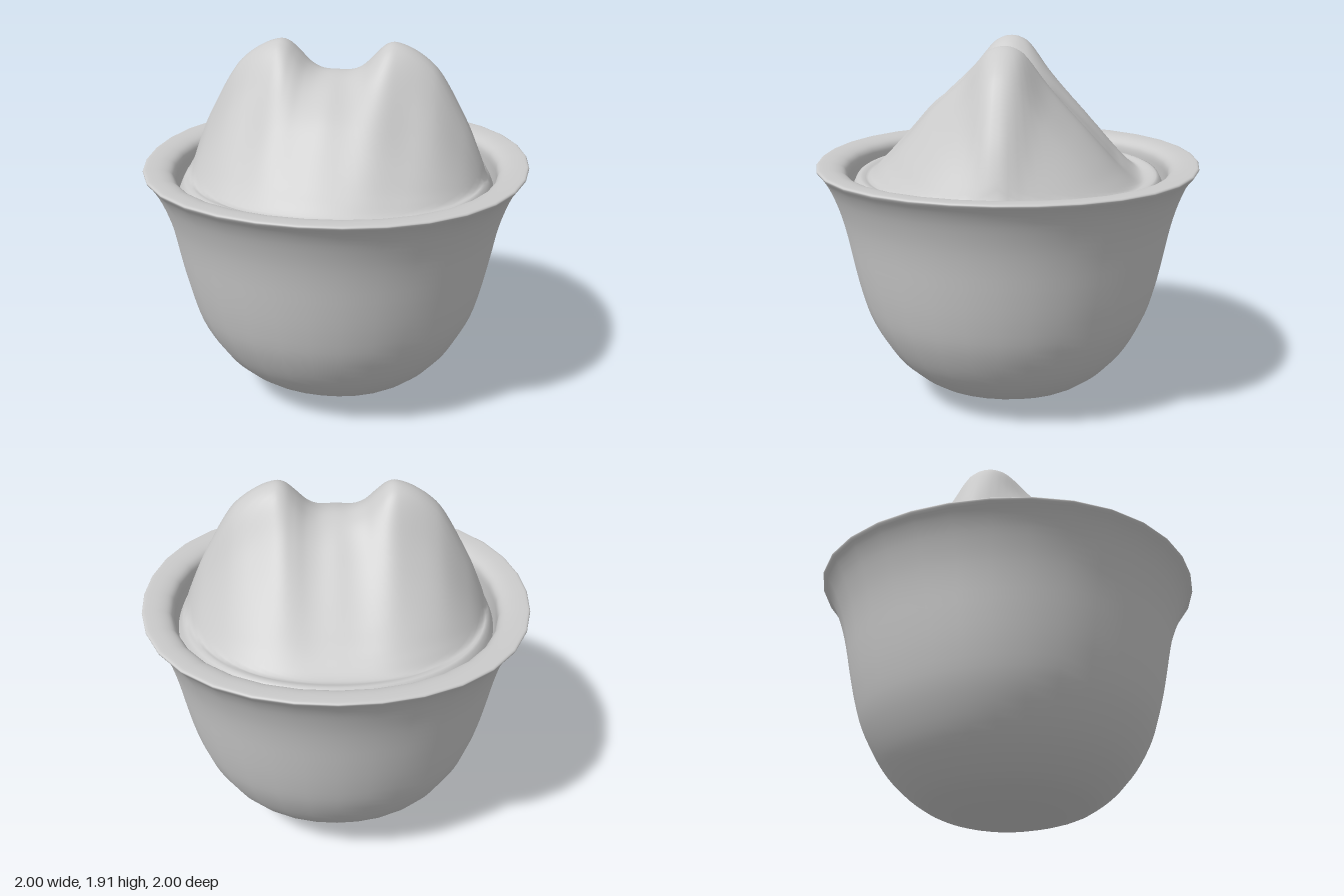
import * as THREE from 'three';

const FLOOR = 1.22, MOUND_R = 0.78;

// Smooth interpolation through [position, value] pairs
function lookup(pts, x) {
  const n = pts.length - 1;
  if (x <= pts[0][0]) return pts[0][1];
  if (x >= pts[n][0]) return pts[n][1];
  let i = 0;
  while (x > pts[i + 1][0]) i++;
  const slope = (k) => (k === 0 || k === n) ? 0
    : (pts[k + 1][1] - pts[k - 1][1]) / (pts[k + 1][0] - pts[k - 1][0]);
  const d = pts[i + 1][0] - pts[i][0], t = (x - pts[i][0]) / d;
  const t2 = t * t, t3 = t2 * t;
  return pts[i][1] * (2 * t3 - 3 * t2 + 1) + pts[i + 1][1] * (3 * t2 - 2 * t3)
    + d * (slope(i) * (t3 - 2 * t2 + t) + slope(i + 1) * (t3 - t2));
}

// Crest height from the middle outward, with a peak on each side
const CREST = [[0, 1.77], [0.08, 1.775], [0.14, 1.805], [0.2, 1.865], [0.25, 1.91], [0.3, 1.922], [0.4, 1.885],
  [0.5, 1.81], [0.56, 1.73], [0.65, 1.57], [0.7, 1.47], [0.77, 1.3], [0.79, 1.24]];
// Fall from the crest towards the edge: at the peaks, middle front and middle back
const PEAK_FALL = [[0, 1], [0.07, 0.985], [0.14, 0.93], [0.28, 0.70], [0.42, 0.53], [0.56, 0.38], [0.7, 0.23], [0.82, 0.1], [0.95, 0]];
const FRONT_FALL = [[0, 1], [0.16, 0.96], [0.32, 0.865], [0.49, 0.7], [0.65, 0.45], [0.76, 0.28], [0.85, 0.145], [0.97, 0]];
const BACK_FALL = [[0, 1], [0.13, 0.96], [0.26, 0.84], [0.38, 0.68], [0.51, 0.5], [0.64, 0.31], [0.76, 0.14], [0.92, 0]];
// Softly raised edge around the filling, dropping into the bowl
const EDGE = [[0.66, FLOOR], [0.72, 1.222], [0.77, 1.238], [0.8, 1.225], [0.82, 1.17]];

function fillingHeight(x, z) {
  const r = Math.hypot(x, z), ax = Math.abs(x);
  const edge = lookup(EDGE, r);
  if (r >= MOUND_R) return edge;
  const w = Math.sqrt(MOUND_R * MOUND_R - x * x);
  const t = Math.abs(z) / Math.max(w, 0.02);
  const middle = lookup(z > 0 ? FRONT_FALL : BACK_FALL, t);
  const blend = THREE.MathUtils.smoothstep(ax, 0, 0.42);
  const fall = THREE.MathUtils.lerp(middle, lookup(PEAK_FALL, t), blend);
  return Math.max(edge, FLOOR + (lookup(CREST, ax) - FLOOR) * fall);
}

// Disc of rings lifted by the height rule
function fillingGeometry() {
  const rings = 56, segs = 96, pos = [0, fillingHeight(0, 0), 0], index = [];
  for (let i = 1; i <= rings; i++) {
    const r = 0.822 * i / rings;
    for (let j = 0; j < segs; j++) {
      const a = j / segs * Math.PI * 2;
      const x = r * Math.cos(a), z = r * Math.sin(a);
      pos.push(x, fillingHeight(x, z), z);
    }
  }
  for (let j = 0; j < segs; j++) {
    const k = (j + 1) % segs;
    index.push(0, 1 + k, 1 + j);
    for (let i = 0; i < rings - 1; i++) {
      const a = 1 + i * segs + j, b = 1 + i * segs + k;
      index.push(a, b, a + segs, b, b + segs, a + segs);
    }
  }
  const geo = new THREE.BufferGeometry();
  geo.setAttribute('position', new THREE.Float32BufferAttribute(pos, 3));
  geo.setIndex(index);
  return geo;
}

// The round plan is a little fuller on the diagonals
function fillDiagonals(geo) {
  const p = geo.attributes.position;
  for (let i = 0; i < p.count; i++) {
    const x = p.getX(i), z = p.getZ(i);
    const s = 1 + 0.0135 * (1 - Math.cos(4 * Math.atan2(z, x)));
    p.setX(i, x * s);
    p.setZ(i, z * s);
  }
  return geo;
}

export function createModel() {
  const model = new THREE.Group();
  const material = new THREE.MeshStandardMaterial({ color: 0xcccccc, side: THREE.DoubleSide });

  // Round-bottomed bowl with a flared lip, outside then inside
  const profile = [[0, 0.008], [0.1, 0.014], [0.2, 0.035], [0.39, 0.093], [0.5, 0.158], [0.6, 0.25], [0.68, 0.36],
    [0.75, 0.5], [0.795, 0.65], [0.828, 0.8], [0.857, 0.95], [0.887, 1.07], [0.927, 1.18], [0.965, 1.25],
    [0.995, 1.288], [0.996, 1.3], [0.98, 1.305], [0.92, 1.302], [0.875, 1.29], [0.85, 1.27], [0.84, 1.24],
    [0.84, 1.18], [0.835, 1.05], [0.79, 0.8], [0.7, 0.5], [0.5, 0.24], [0.25, 0.12], [0, 0.09]];
  const curve = new THREE.SplineCurve(profile.map(([x, y]) => new THREE.Vector2(x, y)));
  const outline = curve.getPoints((profile.length - 1) * 3);
  const bowl = new THREE.Mesh(fillDiagonals(new THREE.LatheGeometry(outline, 32)), material);
  bowl.name = 'bowl';

  const filling = new THREE.Mesh(fillDiagonals(fillingGeometry()), material);
  filling.geometry.computeVertexNormals();
  filling.name = 'twinPeakedFilling';

  model.add(bowl, filling);
  return model;
}
